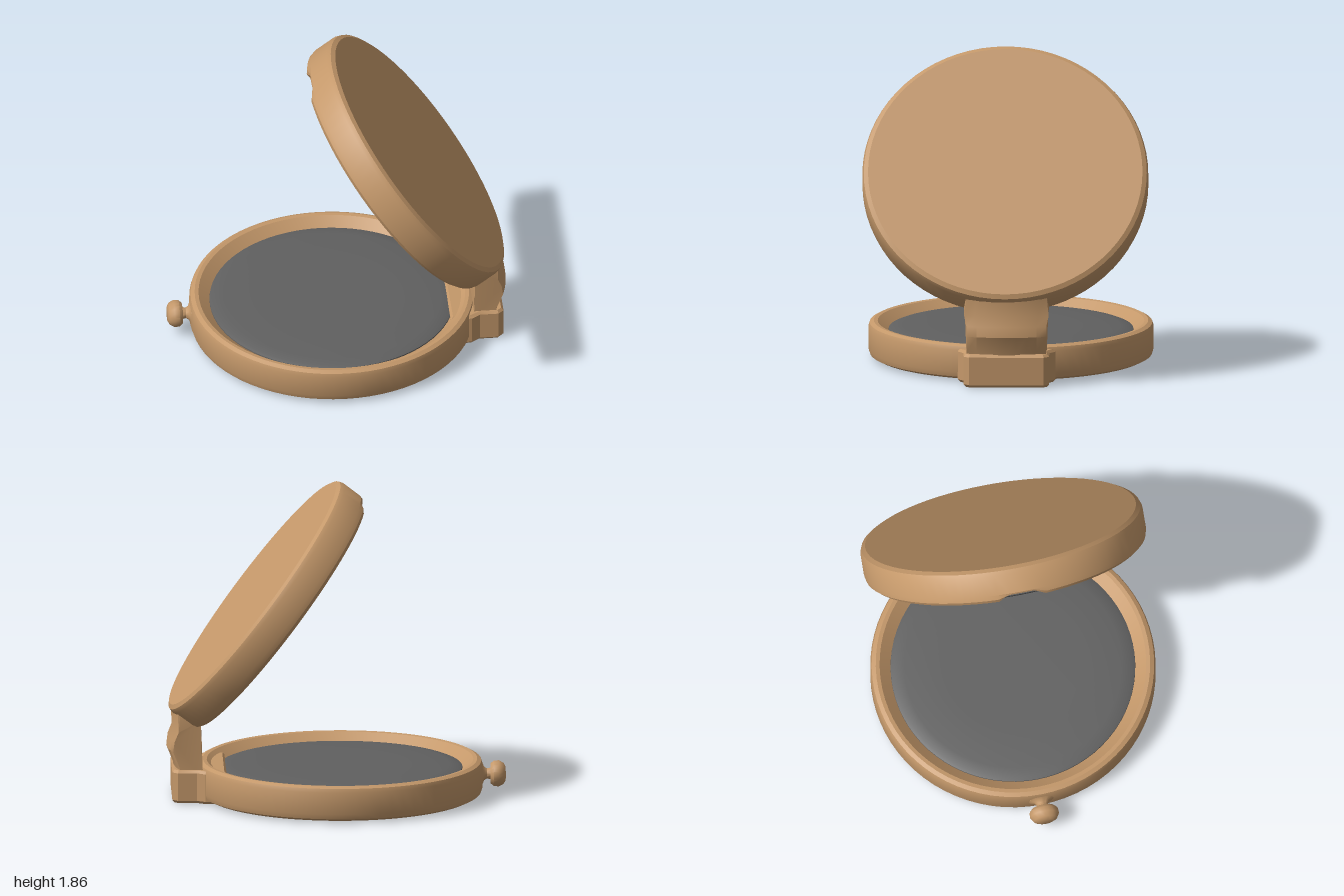
import * as THREE from 'three';
import { toCreasedNormals } from 'three/addons/utils/BufferGeometryUtils.js';

const wood = new THREE.MeshStandardMaterial({ color: 0xc4986a });
const glass = new THREE.MeshStandardMaterial({ color: 0x606060 });

const mesh = (name, geometry, material, crease = 0.5) => {
  const m = new THREE.Mesh(toCreasedNormals(geometry, crease), material);
  m.name = name;
  return m;
};
const lathe = (points, segments = 72) =>
  new THREE.LatheGeometry(points.map(([r, y]) => new THREE.Vector2(r, y)), segments);
const polygon = (points) => new THREE.Shape(points.map(([x, y]) => new THREE.Vector2(x, y)));

// Move every vertex by a rule
function reshape(geometry, rule) {
  const p = geometry.attributes.position;
  const v = new THREE.Vector3();
  for (let i = 0; i < p.count; i++) {
    rule(v.fromBufferAttribute(p, i));
    p.setXYZ(i, v.x, v.y, v.z);
  }
  return geometry;
}

export function createModel() {
  const model = new THREE.Group();
  model.name = 'compactMirror';

  // Lower case: shallow dish with bevelled rim and inset mirror
  const base = new THREE.Group();
  base.name = 'base';
  base.position.set(-0.025, 0, -0.02);
  base.add(
    mesh('baseCase', lathe([
      [0, 0.015], [0.8, 0.015], [0.83, 0.03], [0.84, 0.06], [0.84, 0.19], [0.832, 0.213],
      [0.808, 0.225], [0.785, 0.222], [0.715, 0.165], [0, 0.165],
    ]), wood),
    mesh('baseMirror', lathe([
      [0.722, 0.16], [0.72, 0.176], [0.7, 0.184], [0.64, 0.193], [0.4, 0.196], [0, 0.197],
    ]), glass),
  );
  model.add(base);

  // Lid, tilted open; local y is its outward normal, local -x its free edge
  const lid = new THREE.Group();
  lid.name = 'lid';
  lid.position.set(0.49, 1.21, 0.01);
  lid.rotation.z = -0.918;
  const lidCase = lathe([
    [0, -0.17], [0.72, -0.17], [0.775, -0.21], [0.812, -0.21], [0.835, -0.19],
    [0.842, -0.16], [0.842, -0.04], [0.833, -0.015], [0.808, 0], [0, 0],
  ]);
  // Thumb notch in the free edge of the inner rim
  reshape(lidCase, (v) => {
    if (v.x < -0.76 && Math.abs(v.z) < 0.09 && v.y < -0.15) v.y = Math.max(v.y, -0.17);
  });
  const lidMirror = mesh('lidMirror', lathe([
    [0, -0.236], [0.4, -0.235], [0.62, -0.23], [0.685, -0.222], [0.705, -0.21], [0.715, -0.165],
  ]), glass);
  lidMirror.rotation.z = 0.012;
  lid.add(mesh('lidCase', lidCase, wood), lidMirror);
  model.add(lid);

  // Hinge block on the base, drawn in plan and extruded upward
  const half = [[0.66, 0.28], [0.77, 0.275], [0.82, 0.24], [0.93, 0.24], [0.955, 0.215]];
  const plan = [...half, ...half.map(([x, z]) => [x, -z]).reverse()].reverse();
  const block = new THREE.ExtrudeGeometry(polygon(plan), {
    depth: 0.165, bevelEnabled: true, bevelSize: 0.014, bevelThickness: 0.016,
    bevelOffset: -0.002, bevelSegments: 1,
  }).rotateX(-Math.PI / 2).translate(0, 0.021, 0);
  model.add(mesh('hingeBlock', block, wood));

  // Hinge arm joining base and lid: side profile extruded across, back face bowed
  const arm = new THREE.ExtrudeGeometry(polygon([
    [0.79, 0.15], [0.95, 0.15], [0.96, 0.215], [0.998, 0.31], [0.99, 0.37], [0.966, 0.43],
    [0.972, 0.56], [0.95, 0.6], [0.85, 0.6], [0.8, 0.5], [0.795, 0.4], [0.79, 0.25],
  ]), { depth: 0.47, steps: 8, bevelEnabled: false }).translate(0, 0, -0.235);
  reshape(arm, (v) => {
    if (v.x > 0.92) v.x -= 0.65 * v.z * v.z;
    if (v.y > 0.43 && v.y < 0.55) v.z *= 1.06;
  });
  model.add(mesh('hingeArm', arm, wood));

  // Clasp knob on a short flared neck
  const knob = lathe([
    [0.075, -0.02], [0.065, 0.018], [0.04, 0.028], [0.03, 0.045], [0.034, 0.066],
    [0.058, 0.066], [0.075, 0.085], [0.077, 0.115], [0.062, 0.143], [0.04, 0.155], [0, 0.153],
  ], 20).rotateZ(Math.PI / 2).scale(1, 1, 1.13).translate(-0.845, 0.13, -0.02);
  model.add(mesh('claspKnob', knob, wood, 0.7));

  return model;
}
